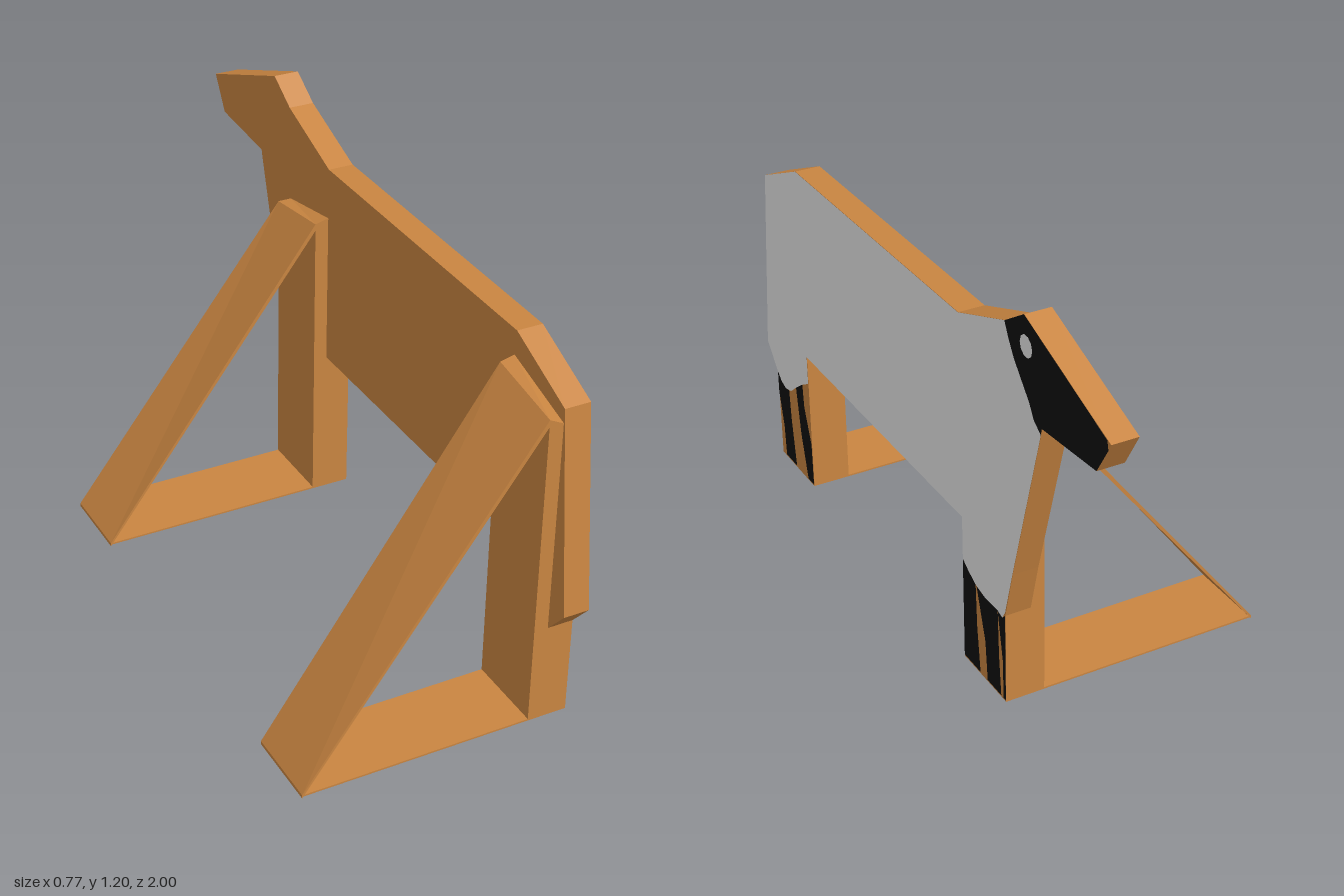
import * as THREE from 'three';

const material = (name, color) => {
  const m = new THREE.MeshStandardMaterial({ color });
  m.name = name;
  return m;
};

export function createModel() {
  const wood = material('wood', 0xc98541);
  const white = material('white paint', 0xf4f4f4);
  const black = material('black paint', 0x101010);
  const group = new THREE.Group();
  const BACK = 0.31, FACE = 0.384;

  const add = (name, geometry, mat) => {
    const mesh = new THREE.Mesh(geometry, mat);
    mesh.name = name;
    group.add(mesh);
    return mesh;
  };

  // Profiles are [z, y] points, turned so that they face +x
  const profile = (points) => new THREE.Shape(points.map(([z, y]) => new THREE.Vector2(-z, y)));
  const paint = (name, points, mat, x = FACE + 0.001) =>
    add(name, new THREE.ShapeGeometry(profile(points)).rotateY(Math.PI / 2).translate(x, 0, 0), mat);

  // Box whose corners are placed by a rule from 0..1 coordinates
  const shapedBox = (rule) => {
    const g = new THREE.BoxGeometry(1, 1, 1).toNonIndexed();
    const p = g.attributes.position;
    for (let i = 0; i < p.count; i++) {
      p.setXYZ(i, ...rule(p.getX(i) + 0.5, p.getY(i) + 0.5, p.getZ(i) + 0.5));
    }
    g.computeVertexNormals();
    return g;
  };
  const lerp = THREE.MathUtils.lerp;

  // Outlines shared by the board and its paint
  const back = [[0.935, 0.94], [0.71, 1.04], [-0.27, 1.05], [-0.51, 1.14]];
  const head = [[-0.605, 1.2], [-1, 1.055], [-0.94, 0.955], [-0.69, 0.935], [-0.685, 0.915]];

  // Animal-shaped board
  const board = profile([
    [1, 0.365], ...back, ...head,
    [-0.54, 0.43], [-0.5, 0.28], [-0.5, 0.01], [-0.27, 0.01], [-0.27, 0.45],
    [0.705, 0.45], [0.705, 0.01], [0.935, 0.01], [0.935, 0.29],
  ]);
  add('bodyBoard', new THREE.ExtrudeGeometry(board, { depth: FACE - BACK, bevelEnabled: false })
    .rotateY(Math.PI / 2).translate(BACK, 0, 0), wood);

  // White fleece, with a wavy lower edge on each leg
  paint('fleece', [
    [1, 0.365], ...back,
    [-0.53, 1.1], [-0.555, 1.06], [-0.59, 1.02], [-0.63, 0.975], [-0.65, 0.94], [-0.685, 0.915],
    [-0.54, 0.43], [-0.5, 0.29], [-0.485, 0.265], [-0.46, 0.272], [-0.39, 0.27], [-0.34, 0.28], [-0.3, 0.3], [-0.27, 0.32],
    [-0.27, 0.45], [0.705, 0.45],
    [0.705, 0.36], [0.75, 0.335], [0.8, 0.3], [0.84, 0.268], [0.88, 0.258], [0.91, 0.268], [0.935, 0.29],
  ], white);

  // Black face and pale eye
  paint('face', [
    [-0.51, 1.14], [-0.605, 1.2], [-0.985, 1.06], [-0.99, 1.035], [-0.94, 0.955], [-0.69, 0.935], [-0.685, 0.915],
    [-0.65, 0.94], [-0.63, 0.975], [-0.59, 1.02], [-0.555, 1.06], [-0.53, 1.1],
  ], black);
  add('eye', new THREE.CircleGeometry(0.03, 10).rotateY(Math.PI / 2).translate(FACE + 0.003, 1.122, -0.618), white);

  // Dark stripes on the legs
  const stripes = [
    [[0.935, 0.29], [0.91, 0.268], [0.88, 0.258], [0.855, 0.263], [0.85, 0.17], [0.83, 0.01], [0.905, 0.01], [0.91, 0.11], [0.935, 0.22]],
    [[0.8, 0.3], [0.75, 0.335], [0.745, 0.26], [0.707, 0.15], [0.705, 0.01], [0.745, 0.01], [0.78, 0.15]],
    [[-0.27, 0.32], [-0.3, 0.3], [-0.34, 0.28], [-0.345, 0.15], [-0.36, 0.01], [-0.27, 0.01]],
    [[-0.345, 0.278], [-0.39, 0.27], [-0.46, 0.272], [-0.465, 0.13], [-0.475, 0.01], [-0.4, 0.01], [-0.39, 0.13]],
    [[-0.46, 0.272], [-0.485, 0.265], [-0.5, 0.28], [-0.5, 0.01], [-0.488, 0.01], [-0.485, 0.13]],
  ];
  stripes.forEach((s, i) => paint('legStripe' + (i + 1), s, black));

  // Supports: top heights are given at the low-z and high-z edges,
  // first where the brace begins and then against the board
  const supports = [
    { name: 'front', z: [-0.5, -0.27], outer: [0.86, 0.89], inner: [0.86, 0.9] },
    { name: 'rear', z: [0.705, 0.935], outer: [0.96, 0.92], inner: [0.97, 0.9] },
  ];
  for (const { name, z, outer, inner } of supports) {
    // Upright behind the leg
    add(name + 'Post', shapedBox((u, v, w) => [
      lerp(0.27, BACK, u),
      v ? lerp(lerp(...outer, w), lerp(...inner, w), u) : 0.01,
      lerp(...z, w),
    ]), wood);
    // Slanting brace, thicker towards the top
    add(name + 'Brace', shapedBox((u, v, w) => [
      lerp(-0.385, 0.27, u),
      u ? lerp(...outer, w) - (1 - v) * 0.02 : v * 0.01,
      lerp(...z, w),
    ]), wood);
    // Thin foot along the ground
    add(name + 'Foot', shapedBox((u, v, w) => [
      lerp(-0.384, FACE, u),
      0.005 + v * 0.005,
      lerp(...z, w),
    ]), wood);
  }
  return group;
}
